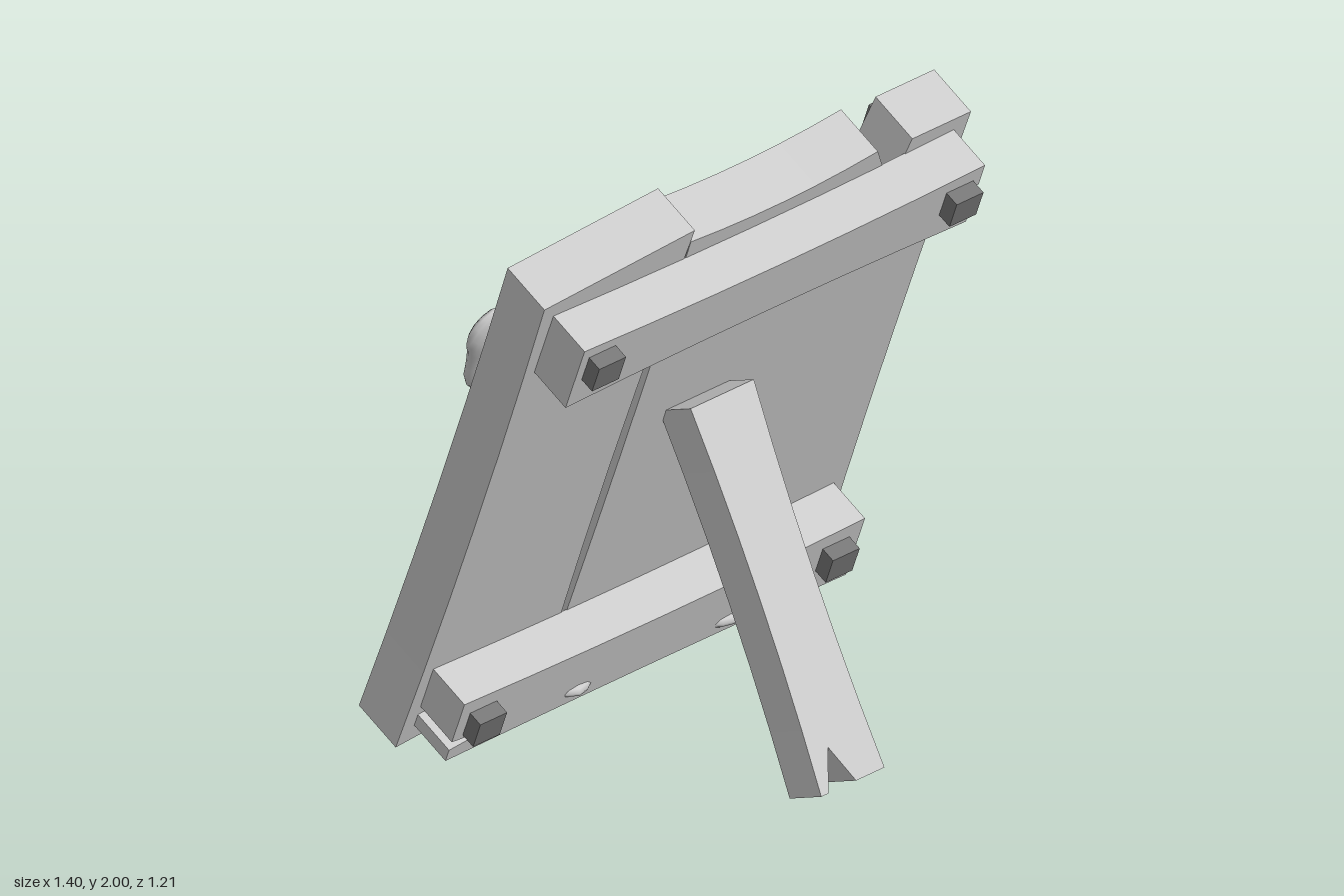
import * as THREE from 'three';
import { mergeVertices } from 'three/addons/utils/BufferGeometryUtils.js';

const wood = new THREE.MeshStandardMaterial({ color: 0xcccccc });
wood.name = 'pale grey';
const iron = new THREE.MeshStandardMaterial({ color: 0x777777 });
iron.name = 'dark grey';
const cloth = new THREE.MeshStandardMaterial({ color: 0xcccccc, side: THREE.DoubleSide });
cloth.name = 'ribbon grey';

function add(parent, name, geometry, material, x = 0, y = 0, z = 0) {
  const mesh = new THREE.Mesh(geometry, material);
  mesh.name = name;
  mesh.position.set(x, y, z);
  parent.add(mesh);
  return mesh;
}

// Flat slab: two numbers are a corner, four are a bent edge (control, end)
function slab(outline, depth) {
  const shape = new THREE.Shape();
  outline.forEach((p, i) => {
    if (i === 0) shape.moveTo(...p);
    else if (p.length === 4) shape.quadraticCurveTo(...p);
    else shape.lineTo(...p);
  });
  const g = new THREE.ExtrudeGeometry(shape, { depth, bevelEnabled: false, curveSegments: 6 });
  return g.translate(0, 0, -depth / 2);
}

// Puffy bow loop: a sphere whose rings follow a wing-shaped outline
function loopGeometry() {
  const outline = new THREE.CatmullRomCurve3([
    [0.03, 0.01], [0.05, -0.03], [0.11, -0.075], [0.17, -0.115], [0.22, -0.11], [0.26, -0.06],
    [0.27, 0], [0.28, 0.05], [0.296, 0.11], [0.28, 0.165], [0.235, 0.193], [0.18, 0.165],
    [0.1, 0.085], [0.05, 0.04],
  ].map(([x, y]) => new THREE.Vector3(x, y, 0)), true);
  const around = 24, rings = 12;
  const g = new THREE.SphereGeometry(1, around, rings);
  const p = g.attributes.position;
  for (let j = 0, k = 0; j <= rings; j++) {
    const a = (j / rings) * Math.PI;
    for (let i = 0; i <= around; i++, k++) {
      const o = outline.getPoint((i % around) / around);
      const r = j === 0 || j === rings ? 0 : Math.sin(a);
      p.setXYZ(k, 0.18 + (o.x - 0.18) * r, 0.04 + (o.y - 0.04) * r, 0.037 * Math.cos(a));
    }
  }
  g.deleteAttribute('uv');
  g.deleteAttribute('normal');
  const merged = mergeVertices(g, 1e-5);
  merged.computeVertexNormals();
  return merged;
}

// Swallow-tailed ribbon, widening along a path given as s -> [y, z]
function tailGeometry(side, length, path) {
  const rows = 16;
  const g = new THREE.PlaneGeometry(2, 1, 2, rows);
  const p = g.attributes.position;
  for (let k = 0; k < p.count; k++) {
    const u = p.getX(k);
    const t = 0.5 - p.getY(k);
    let s = t * length;
    if (u === 0) s -= 0.075 * Math.max(0, (t - 0.7) / 0.3);
    const centre = side * (0.015 + 0.105 * Math.pow(t, 1.3));
    const [y, z] = path(s);
    p.setXYZ(k, centre + u * (0.02 + 0.047 * t), y, z);
  }
  g.computeVertexNormals();
  return g;
}

const flatPath = (s) => [-s, 0.012];
// Runs level, turns over a quarter circle and hangs straight
function drapedPath(s) {
  const level = 0.205, r = 0.09, arc = (r * Math.PI) / 2;
  if (s < level) return [-s, 0];
  if (s < level + arc) {
    const a = (s - level) / r;
    return [-level - r * Math.sin(a), r * (1 - Math.cos(a))];
  }
  return [-level - r, r + s - level - arc];
}

function makeBow(name, loop, path, leftLength, rightLength) {
  const bow = new THREE.Group();
  bow.name = name;
  add(bow, 'leftLoop', loop, wood);
  add(bow, 'rightLoop', loop, wood).rotation.y = Math.PI;
  add(bow, 'knot', new THREE.SphereGeometry(1, 16, 12), wood).scale.set(0.062, 0.066, 0.047);
  add(bow, 'leftTail', tailGeometry(1, leftLength, path), cloth);
  add(bow, 'rightTail', tailGeometry(-1, rightLength, path), cloth);
  return bow;
}

export function createModel() {
  const model = new THREE.Group();
  model.name = 'standingBoard';

  // Leaning board
  const board = new THREE.Group();
  board.name = 'board';
  board.position.set(0, 1.167, -0.081);
  board.rotation.x = 0.344;
  model.add(board);

  // Two planks with split ends
  add(board, 'narrowPlank', slab([
    [-0.7, -0.82], [-0.53, -0.8], [-0.51, -0.69], [-0.475, -0.84], [-0.255, -0.858],
    [-0.285, 0, -0.25, 0.858], [-0.7, 0.815], [-0.67, 0, -0.7, -0.82],
  ], 0.145), wood);
  add(board, 'widePlank', slab([
    [-0.25, -0.82], [0.06, -0.82], [0.1, -0.58], [0.13, -0.82], [0.61, -0.82],
    [0.59, 0, 0.61, 0.815], [0.43, 0.815], [0.405, 0.65], [0.32, 0.83],
    [0.05, 0.78, -0.25, 0.815], [-0.235, 0, -0.25, -0.82],
  ], 0.145), wood);

  // Cross rails, each cracked at one end
  add(board, 'topRail', slab([
    [-0.66, 0.56], [-0.05, 0.59, 0.57, 0.56], [0.57, 0.63], [0.49, 0.665], [0.57, 0.7],
    [0.57, 0.77], [-0.05, 0.735, -0.66, 0.77],
  ], 0.125), wood, 0, 0, 0.133);
  add(board, 'bottomRail', slab([
    [-0.66, -0.76], [-0.05, -0.745, 0.57, -0.76], [0.57, -0.55], [-0.05, -0.58, -0.66, -0.55],
    [-0.66, -0.69], [-0.55, -0.705], [-0.66, -0.72],
  ], 0.125), wood, 0, 0, 0.133);

  // Square pegs through rails and planks
  const peg = new THREE.BoxGeometry(0.082, 0.082, 0.346);
  for (const [x, y] of [[-0.595, 0.693], [0.505, 0.685], [-0.588, -0.64], [0.495, -0.64]]) {
    add(board, 'peg', peg, iron, x, y, 0.063);
  }

  // Bows on the back of the board
  const loop = loopGeometry();
  for (const [name, x, y] of [
    ['lowerBow', 0.06, -0.213], ['rightBow', -0.405, 0.389], ['leftBow', 0.405, 0.448],
  ]) {
    const bow = makeBow(name, loop, flatPath, 0.63, 0.63);
    bow.position.set(x, y, -0.112);
    board.add(bow);
  }

  // Bow lying flat in the foot of the board, with hanging tails
  const footBow = makeBow('footBow', loop, drapedPath, 0.685, 0.595);
  footBow.position.set(-0.035, 0.43, -0.31);
  footBow.rotation.x = Math.PI / 2;
  model.add(footBow);

  // Prop leg with a split foot
  const leg = add(model, 'propLeg', slab([
    [-0.097, -0.492], [-0.075, -0.492], [-0.035, -0.39], [0.01, -0.492], [0.097, -0.492],
    [0.07, 0, 0.097, 0.492], [-0.097, 0.492], [-0.07, 0, -0.097, -0.492],
  ], 0.135), wood, -0.035, 0.845, 0.302);
  leg.rotation.x = -0.515;

  return model;
}
